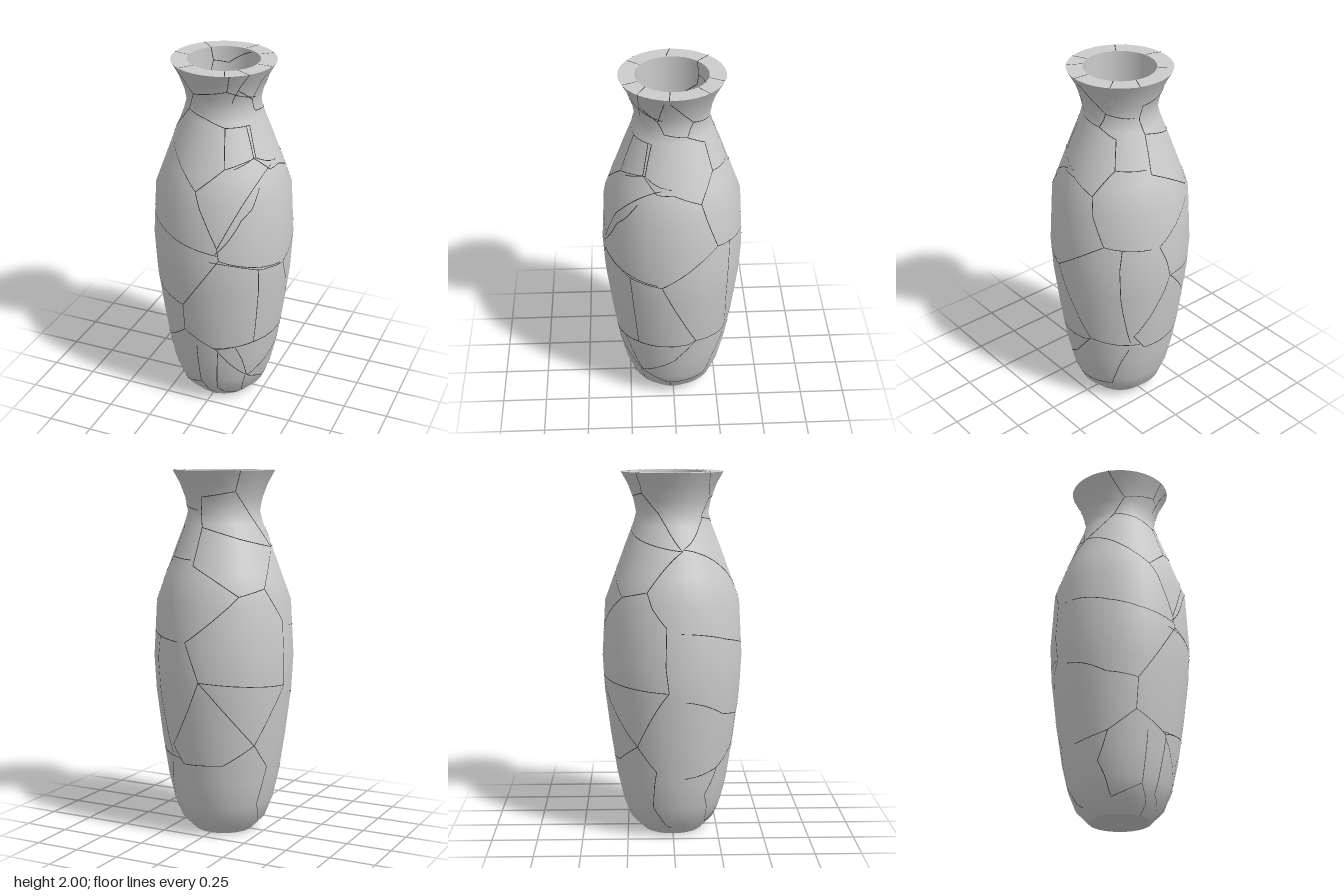
import * as THREE from 'three';
import { mergeGeometries } from 'three/addons/utils/BufferGeometryUtils.js';

const SIDES = 32, STEP = Math.PI * 2 / SIDES;
const BORE = 0.191, FLOOR = 0.1;

// Outer profile as [radius, height]
const PROFILE = [
  [0.165, 0], [0.235, 0.07], [0.275, 0.17], [0.31, 0.32], [0.345, 0.55], [0.376, 0.8], [0.387, 0.99],
  [0.37, 1.3], [0.315, 1.45], [0.26, 1.6], [0.213, 1.72], [0.197, 1.78], [0.21, 1.85], [0.24, 1.93], [0.279, 2],
];

// Fracture lines on the body: [sideways offset, height] as seen from a given angle round the axis
const FRONT = [
  [[-0.13, 1.76], [-0.02, 1.74], [0.09, 1.7], [0.19, 1.7], [0.24, 1.54], [0.3, 1.49], [0.11, 1.08], [0.12, 1.01], [0.38, 0.92]],
  [[0.09, 1.7], [0.115, 1.5], [0.24, 1.54]],
  [[0.115, 1.5], [-0.02, 1.38], [-0.255, 1.6], [-0.13, 1.76]],
  [[-0.02, 1.38], [0.11, 1.08]],
  [[0.11, 1.04], [-0.1, 1.08], [-0.25, 1.12], [-0.375, 1.17]],
  [[0.12, 1.01], [-0.1, 0.68], [-0.25, 0.71], [-0.37, 0.8]],
  [[-0.1, 0.68], [-0.1, 0.51], [-0.22, 0.4], [-0.31, 0.36]],
  [[-0.22, 0.4], [-0.24, 0.25], [-0.16, 0.07], [-0.03, 0.14], [-0.03, 0.41]],
  [[-0.1, 0.51], [0.08, 0.41], [0.25, 0.44], [0.33, 0.45]],
  [[0.08, 0.41], [0.21, 0.2], [0.16, 0.02]],
  [[0.09, 0.39], [0.06, 0.1], [0.14, 0.01]],
  [[-0.03, 0.14], [0.02, 0.05], [0.02, 0]],
  [[-0.2, 2], [-0.09, 1.86], [0.1, 1.9], [0.2, 1.84]],
  [[0.1, 1.9], [0.13, 2]],
  [[-0.09, 1.86], [-0.13, 1.76]],
];
const SIDE = [
  [[-0.25, 1.5], [-0.16, 1.54], [-0.09, 1.46], [0, 1.46], [0.14, 1.4], [0.23, 1.13], [-0.07, 0.91], [-0.24, 0.93], [-0.38, 1]],
  [[-0.16, 1.54], [-0.13, 1.7], [-0.19, 1.7]],
  [[0.14, 1.4], [0.2, 1.54], [0.28, 1.53]],
  [[0.2, 1.54], [0.16, 1.69], [0.07, 1.74]],
  [[-0.19, 1.39], [-0.3, 1.24], [-0.37, 1.05]],
  [[0.23, 1.13], [0.37, 1.1]],
  [[0.3, 1.12], [0.29, 0.72], [0.29, 0.47]],
  [[-0.07, 0.91], [0.12, 0.48], [0.31, 0.45]],
  [[-0.32, 0.42], [-0.2, 0.44], [0.08, 0.46], [0.12, 0.48], [0, 0.33], [-0.18, 0.19], [-0.27, 0.42]],
  [[-0.24, 0.93], [-0.2, 0.44]],
  [[-0.18, 0.19], [-0.03, 0.11], [0.17, 0.13], [0.28, 0.42]],
  [[-0.02, 0.1], [-0.02, 0]],
  [[-0.18, 2], [-0.17, 1.83]],
  [[-0.17, 1.9], [-0.08, 1.83], [-0.05, 1.76], [0.07, 1.74], [0.1, 1.82], [-0.02, 1.97]],
  [[-0.08, 1.83], [-0.05, 1.97]],
  [[0.1, 1.82], [0.19, 1.79]],
];
const BACK = [
  [[-0.14, 1.7], [-0.197, 1.5], [0.03, 1.345], [0.175, 1.38], [0.284, 1.2], [0.295, 0.85], [-0.186, 0.89], [-0.25, 1.1], [0.03, 1.345]],
  [[-0.186, 0.89], [0.12, 0.535], [0.2, 0.4], [0.148, 0.19], [0.17, 0.05]],
  [[-0.186, 0.89], [-0.3, 0.52], [-0.25, 0.42], [-0.05, 0.43], [0.12, 0.535], [0.295, 0.85]],
  [[0.175, 1.38], [0.24, 1.59], [0.03, 1.89], [0.05, 2]],
  [[-0.14, 1.7], [0.05, 1.64], [0.24, 1.59]],
  [[0.03, 1.89], [-0.14, 1.86], [-0.14, 1.7]],
];
const BORE_WALL = [
  [[0.03, 2], [0.016, 1.926], [-0.066, 1.91], [-0.13, 1.96], [-0.17, 1.99]],
  [[0.016, 1.926], [0.03, 1.866], [0.1, 1.8]],
];

// Fracture lines on level faces: [x, z]
const RIM = [
  [[0.09, -0.265], [0.05, -0.187]], [[-0.2, -0.2], [-0.135, -0.14]], [[0.212, -0.178], [0.148, -0.125]],
  [[-0.279, 0], [-0.215, 0.02], [-0.192, 0.018]], [[0.192, 0.018], [0.277, 0.025]],
  [[0.13, 0.14], [0.21, 0.183]], [[0.075, 0.177], [0.11, 0.255]], [[-0.105, 0.162], [-0.155, 0.23]],
];
const BASE_INSIDE = [
  [[-0.015, -0.19], [0.01, -0.08], [-0.16, -0.015], [-0.105, 0.157]],
  [[0.01, -0.08], [0.11, -0.085], [0.16, -0.105]],
  [[-0.16, -0.015], [-0.19, -0.03]],
];

function outerRadius(y) {
  let i = 1;
  while (i < PROFILE.length - 1 && PROFILE[i][1] < y) i++;
  const [r0, y0] = PROFILE[i - 1], [r1, y1] = PROFILE[i];
  return r0 + (r1 - r0) * (y - y0) / (y1 - y0);
}

// Places a point on the many-sided body as seen from the angle az
const onBody = (az) => (s, y) => {
  const r = outerRadius(y);
  const phi = az + Math.asin(THREE.MathUtils.clamp(s / r, -1, 1));
  const local = THREE.MathUtils.euclideanModulo(phi, STEP) - STEP / 2;
  const facetR = r * Math.cos(STEP / 2) / Math.cos(local) + 0.0015;
  return { p: new THREE.Vector3(Math.sin(phi) * facetR, y, Math.cos(phi) * facetR), n: new THREE.Vector3(Math.sin(phi), 0, Math.cos(phi)) };
};
const onBore = (az) => (s, y) => {
  const phi = az + Math.asin(s / BORE), r = BORE - 0.002;
  return { p: new THREE.Vector3(Math.sin(phi) * r, y, Math.cos(phi) * r), n: new THREE.Vector3(-Math.sin(phi), 0, -Math.cos(phi)) };
};
const onLevel = (y) => (x, z) => ({ p: new THREE.Vector3(x, y + 0.001, z), n: new THREE.Vector3(0, 1, 0) });

// Hairline ribbon that follows a surface along a bent line
function crackRibbon(line, place) {
  const samples = [];
  line.forEach(([a, b], i) => {
    if (i === 0) return samples.push(place(a, b));
    const [a0, b0] = line[i - 1];
    const count = Math.max(2, Math.ceil(Math.hypot(a - a0, b - b0) / 0.015));
    for (let k = 1; k <= count; k++) samples.push(place(a0 + (a - a0) * k / count, b0 + (b - b0) * k / count));
  });
  const pos = [], nor = [], index = [];
  samples.forEach(({ p, n }, i) => {
    const before = samples[Math.max(i - 1, 0)].p, after = samples[Math.min(i + 1, samples.length - 1)].p;
    const across = after.clone().sub(before).cross(n).normalize().multiplyScalar(0.002);
    pos.push(...p.clone().add(across).toArray(), ...p.clone().sub(across).toArray());
    nor.push(...n.toArray(), ...n.toArray());
    if (i) index.push(2 * i - 2, 2 * i, 2 * i - 1, 2 * i - 1, 2 * i, 2 * i + 1);
  });
  const g = new THREE.BufferGeometry();
  g.setAttribute('position', new THREE.Float32BufferAttribute(pos, 3));
  g.setAttribute('normal', new THREE.Float32BufferAttribute(nor, 3));
  g.setIndex(index);
  return g;
}

export function createModel() {
  const vase = new THREE.Group();
  vase.name = 'crackedVase';
  const clay = new THREE.MeshStandardMaterial({ color: 0xcccccc });
  const dark = new THREE.MeshStandardMaterial({ color: 0x333333, side: THREE.DoubleSide });
  const add = (name, geometry, material = clay) => {
    const mesh = new THREE.Mesh(geometry, material);
    mesh.name = name;
    vase.add(mesh);
    return mesh;
  };
  const ring = (r, n) => Array.from({ length: n }, (_, i) =>
    new THREE.Vector2(r * Math.cos(i * 2 * Math.PI / n), r * Math.sin(i * 2 * Math.PI / n)));

  // Body wall and underside
  add('body', new THREE.LatheGeometry(PROFILE.map(([r, y]) => new THREE.Vector2(r, y)), SIDES));
  add('underside', new THREE.CircleGeometry(PROFILE[0][0], SIDES).rotateX(Math.PI / 2));

  // Flat rim round the mouth
  const rim = new THREE.Shape(ring(PROFILE[PROFILE.length - 1][0], SIDES));
  rim.holes.push(new THREE.Path(ring(BORE, SIDES * 2)));
  add('rim', new THREE.ShapeGeometry(rim).rotateX(-Math.PI / 2)).position.y = 2;

  // Straight bore and its floor
  add('innerWall', new THREE.LatheGeometry([new THREE.Vector2(BORE, 2), new THREE.Vector2(BORE, FLOOR)], SIDES * 2));
  add('innerFloor', new THREE.CircleGeometry(BORE, SIDES * 2).rotateX(-Math.PI / 2)).position.y = FLOOR;

  // Hairline fractures
  const rad = THREE.MathUtils.degToRad;
  const cracks = [
    ['frontCracks', FRONT, onBody(0)], ['sideCracks', SIDE, onBody(rad(90))], ['backCracks', BACK, onBody(rad(215))],
    ['innerWallCracks', BORE_WALL, onBore(rad(215))], ['rimCracks', RIM, onLevel(2)], ['floorCracks', BASE_INSIDE, onLevel(FLOOR)],
  ];
  for (const [name, lines, place] of cracks) add(name, mergeGeometries(lines.map((line) => crackRibbon(line, place))), dark);
  return vase;
}
